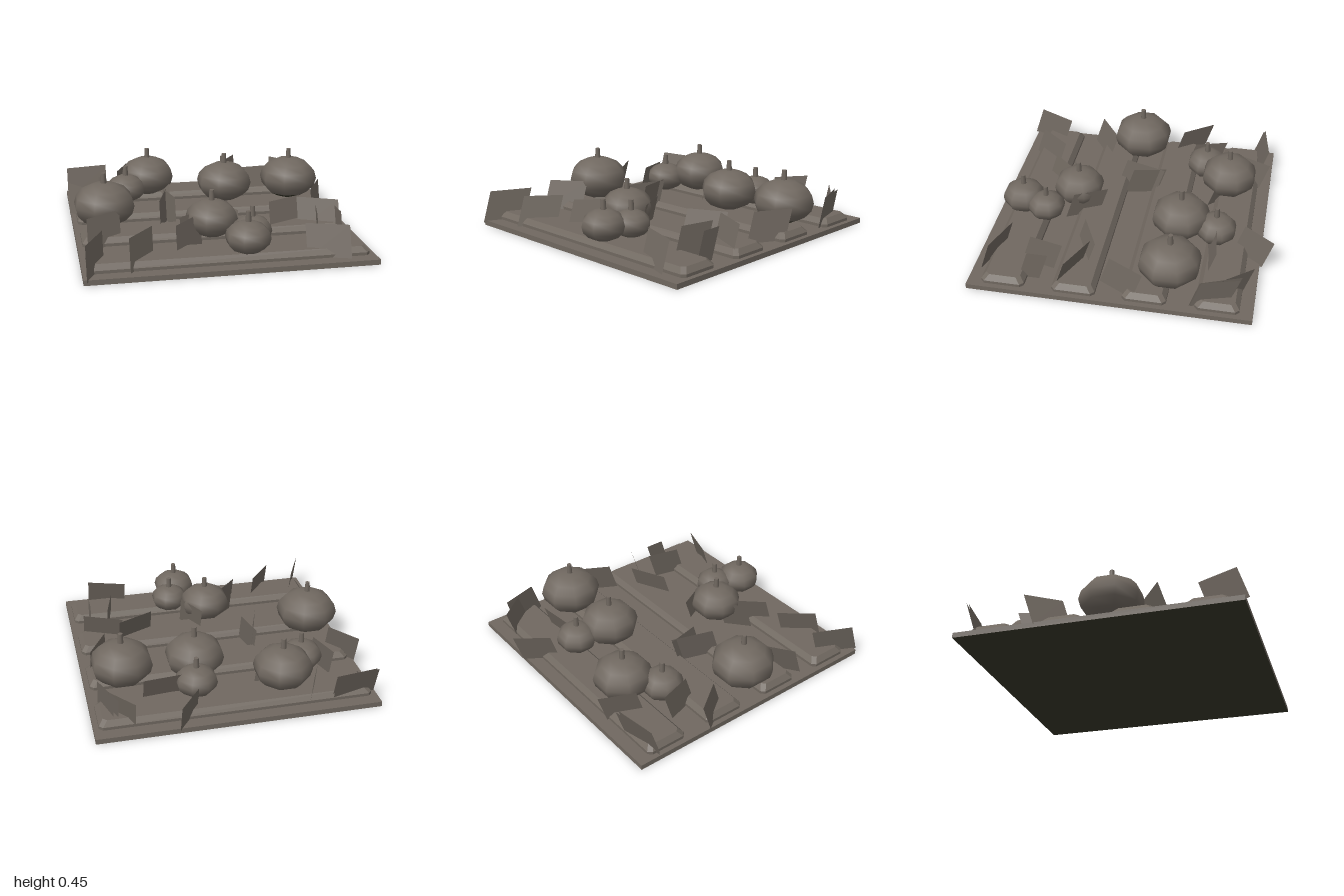
import * as THREE from 'three';
import { ConvexGeometry } from 'three/addons/geometries/ConvexGeometry.js';

function makeMaterial(name, color) {
  const material = new THREE.MeshStandardMaterial({ color, side: THREE.DoubleSide });
  material.name = name;
  return material;
}
const earth = makeMaterial('earthBrown', 0x706860);
const dark = makeMaterial('darkUnderside', 0x38382a);

function addMesh(parent, name, geometry, material, x = 0, y = 0, z = 0) {
  const mesh = new THREE.Mesh(geometry, material);
  mesh.name = name;
  mesh.position.set(x, y, z);
  parent.add(mesh);
}

// Raised soil bed: chamfered outline, short vertical side, sloped shoulder
function bedGeometry(length, width) {
  const points = [];
  for (const [y, inset] of [[0.03, 0], [0.055, 0], [0.09, 0.03]]) {
    const a = length / 2 - inset, b = width / 2 - inset, c = 0.025;
    for (const sx of [-1, 1]) for (const sz of [-1, 1]) {
      points.push(new THREE.Vector3(sx * a, y, sz * (b - c)));
      points.push(new THREE.Vector3(sx * (a - c), y, sz * b));
    }
  }
  return new ConvexGeometry(points);
}

// Flat leaf card standing on a line, leaning towards the back
function leafGeometry(x1, z1, x2, z2) {
  const lean = 0.035, low = 0.025, high = 0.24;
  const g = new THREE.BufferGeometry();
  g.setAttribute('position', new THREE.Float32BufferAttribute([
    x1, low, z1 + lean, x2, low, z2 + lean,
    x2, high, z2 - lean, x1, high, z1 - lean], 3));
  g.setIndex([0, 1, 2, 0, 2, 3]);
  g.computeVertexNormals();
  return g;
}

// Squashed eight-sided pumpkin with a tapered stem
function makePumpkin(x, z, r, baseMaterial = earth) {
  const pumpkin = new THREE.Group();
  pumpkin.name = 'pumpkin';
  const half = r * 0.77, bottom = 0.075, wide = r / Math.cos(Math.PI / 8);
  const shell = (rings, from, span) => new THREE.SphereGeometry(1, 8, rings, 0, Math.PI * 2, from, span)
    .rotateY(Math.PI / 8).scale(wide, half, wide);
  addMesh(pumpkin, 'pumpkinBody', shell(6, 0, Math.PI * 0.75), earth, 0, bottom + half, 0);
  addMesh(pumpkin, 'pumpkinBase', shell(2, Math.PI * 0.75, Math.PI * 0.25), baseMaterial, 0, bottom + half, 0);
  const stemTop = bottom + half * 2 + 0.066;
  addMesh(pumpkin, 'pumpkinStem', new THREE.CylinderGeometry(0.016, 0.021, 0.09, 8), earth, 0, stemTop - 0.045, 0);
  pumpkin.position.set(x, 0, z);
  return pumpkin;
}

export function createModel() {
  const model = new THREE.Group();
  model.name = 'pumpkinPatch';

  // Ground slab with a dark underside
  addMesh(model, 'groundSlab', new THREE.BoxGeometry(1.89, 0.035, 1.89),
    [earth, earth, earth, dark, earth, earth], 0, 0.0175, 0.03);

  // Four planting beds
  for (const z of [-0.682, -0.208, 0.262, 0.738]) {
    addMesh(model, 'soilBed', bedGeometry(1.82, 0.29), earth, 0, 0, z);
  }

  // Pumpkins: x, z, radius and, where different, base colour
  const pumpkins = [
    [-0.345, -0.62, 0.185], [-0.53, -0.435, 0.133], [0.235, -0.595, 0.132],
    [0.195, -0.345, 0.188], [0.69, -0.345, 0.197, dark], [-0.735, 0.085, 0.2],
    [-0.05, 0.43, 0.165], [0.185, 0.615, 0.122], [0.115, 0.795, 0.139]];
  for (const p of pumpkins) model.add(makePumpkin(...p));

  // Leaf cards: x and z of both ends
  const leaves = [
    [-0.94, -0.80, -0.64, -0.85], [-0.93, -0.79, -0.64, -0.83], [-0.47, -0.87, -0.57, -0.64],
    [0.41, -0.965, 0.26, -0.76], [0.68, -0.86, 0.83, -0.67], [0.78, -0.79, 0.88, -0.53],
    [0.81, -0.78, 0.88, -0.54], [0.29, -0.57, 0.59, -0.60], [-0.72, -0.53, -0.65, -0.30],
    [-0.95, -0.40, -0.80, -0.19], [-0.27, -0.12, -0.36, 0.17], [-0.29, -0.13, -0.24, 0.10],
    [0.88, -0.16, 0.75, 0.08], [-0.88, 0.46, -0.65, 0.30], [0.38, 0.32, 0.63, 0.20],
    [0.60, 0.24, 0.865, 0.36], [0.02, 0.24, 0.13, 0.46], [-0.28, 0.55, -0.13, 0.42],
    [-0.33, 0.70, -0.13, 0.48], [0.685, 0.41, 0.63, 0.64], [0.80, 0.48, 0.80, 0.62],
    [-0.80, 0.70, -0.925, 0.965], [-0.48, 0.67, -0.65, 0.88], [0.50, 0.80, 0.77, 0.89],
    [-0.32, -0.66, -0.19, -0.52]];
  for (const l of leaves) addMesh(model, 'leaf', leafGeometry(...l), earth);

  return model;
}
